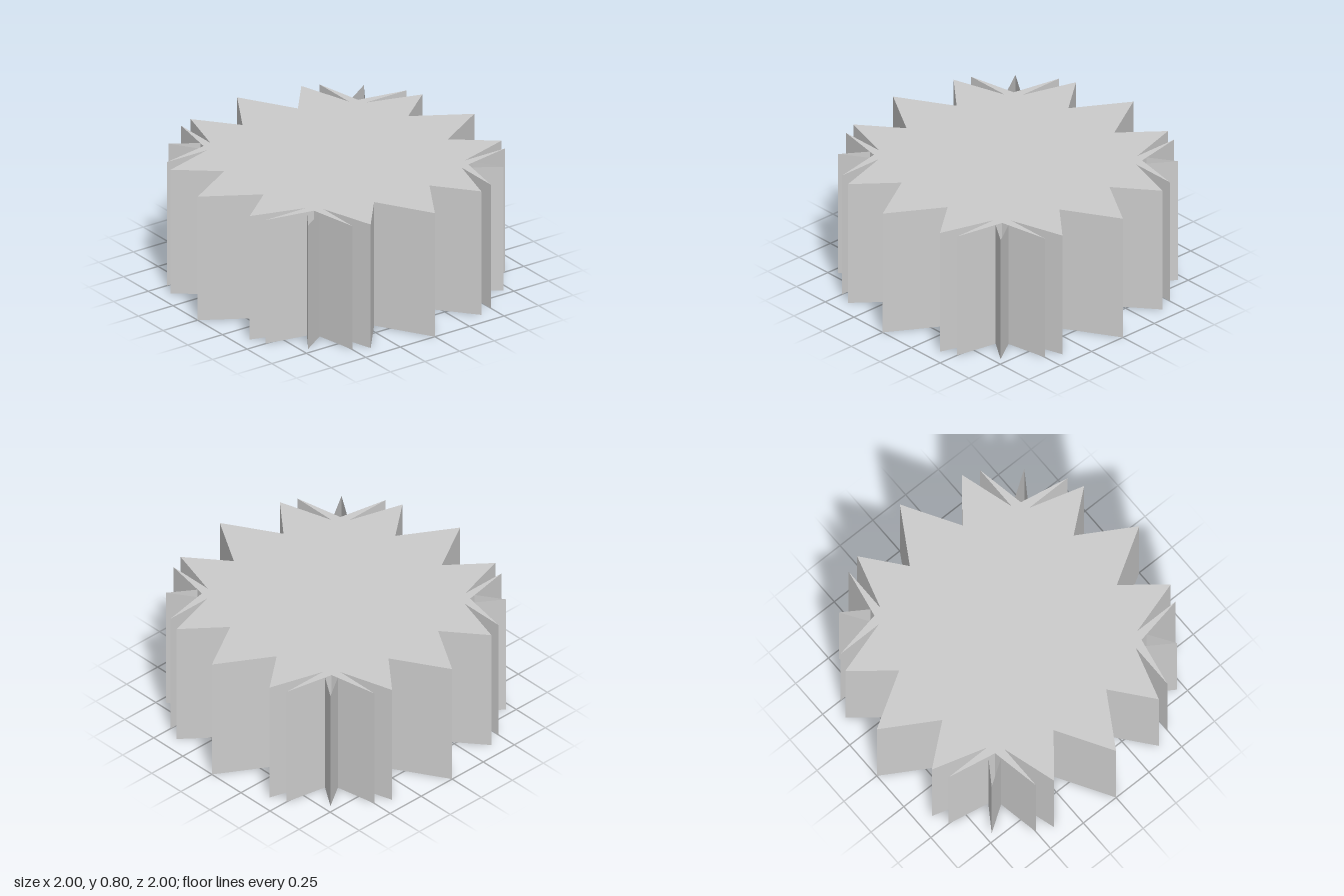
import * as THREE from 'three';

const HEIGHT = 0.8;

// Half of one quadrant of the star outline, from the +x tip to the diagonal notch
const EIGHTH = [[1, 0], [0.665, 0.2], [0.91, 0.4], [0.572, 0.5], [0.866, 0.5], [0.558, 0.558]];

// Open vertical wall along a path of [x, z] points
function wallStrip(path) {
  const positions = [];
  for (let i = 0; i < path.length - 1; i++) {
    const [ax, az] = path[i];
    const [bx, bz] = path[i + 1];
    positions.push(ax, 0, az, ax, HEIGHT, az, bx, HEIGHT, bz);
    positions.push(ax, 0, az, bx, HEIGHT, bz, bx, 0, bz);
  }
  const geometry = new THREE.BufferGeometry();
  geometry.setAttribute('position', new THREE.Float32BufferAttribute(positions, 3));
  geometry.computeVertexNormals();
  return geometry;
}

export function createModel() {
  const group = new THREE.Group();
  group.name = 'starPrism';
  const material = new THREE.MeshStandardMaterial({
    color: 0xcccccc, flatShading: true, side: THREE.DoubleSide,
  });

  // Mirror the eighth over the diagonal, then turn the quadrant four times
  const mirrored = EIGHTH.slice(1, -1).reverse().map(([x, y]) => [y, x]);
  const quadrant = [...EIGHTH, ...mirrored];
  const outline = [];
  for (let q = 0; q < 4; q++) {
    for (const [x, y] of quadrant) {
      outline.push(new THREE.Vector2(x, y).rotateAround(new THREE.Vector2(), q * Math.PI / 2));
    }
  }

  // Solid star body
  const body = new THREE.ExtrudeGeometry(new THREE.Shape(outline), {
    depth: HEIGHT, bevelEnabled: false,
  });
  body.rotateX(-Math.PI / 2);
  const bodyMesh = new THREE.Mesh(body, material);
  bodyMesh.name = 'starBody';
  group.add(bodyMesh);

  // Hollow spikes on the diagonals, open at top and bottom
  const spike = wallStrip([[0.5, 0.57], [0.707, 0.707], [0.57, 0.5]]);
  for (let q = 0; q < 4; q++) {
    const mesh = new THREE.Mesh(spike, material);
    mesh.name = 'cornerSpike' + (q + 1);
    mesh.rotation.y = q * Math.PI / 2;
    group.add(mesh);
  }
  return group;
}
